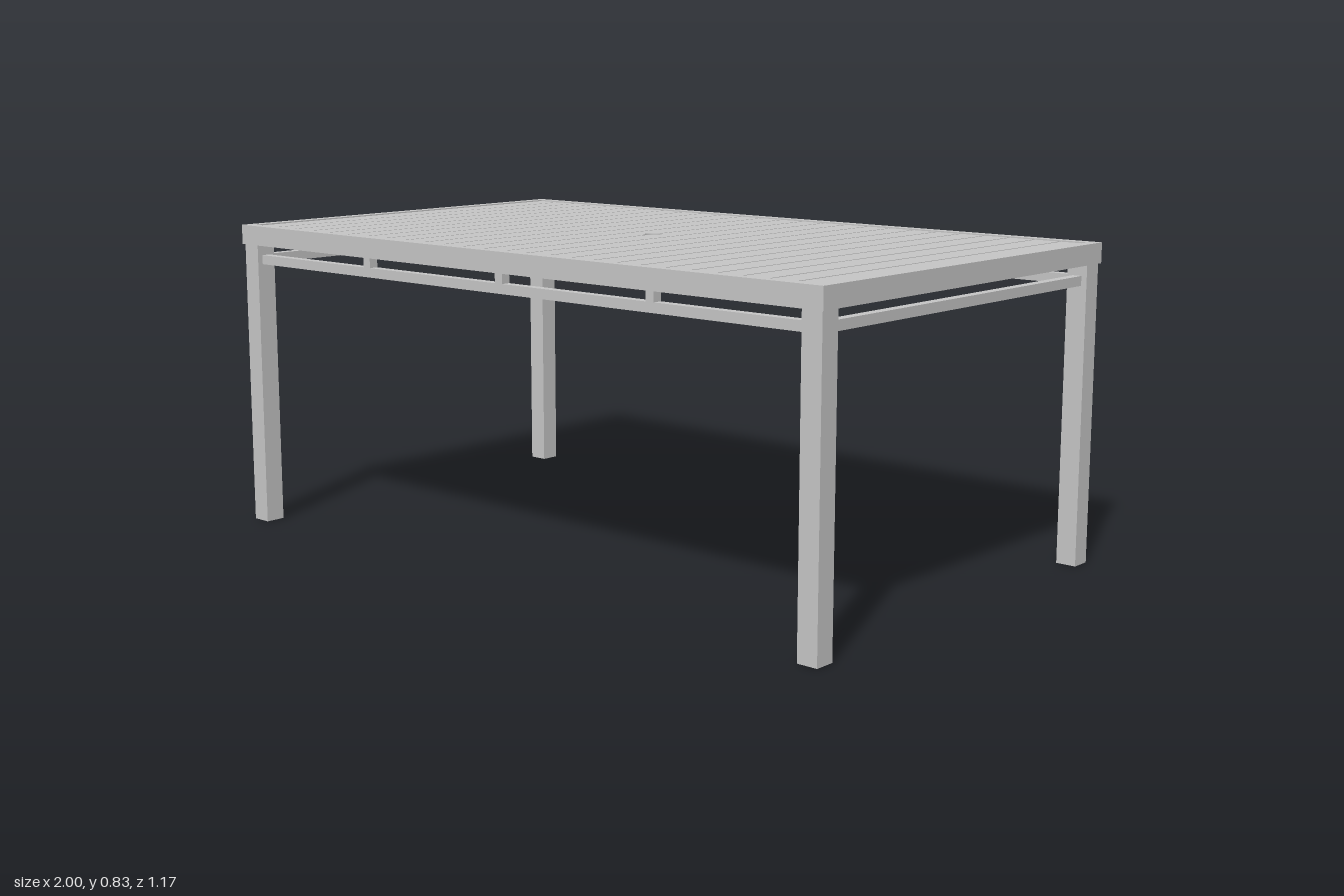
import * as THREE from 'three';

export function createModel() {
  const table = new THREE.Group();
  table.name = 'patioTable';
  const metal = new THREE.MeshStandardMaterial({ color: 0xc4c4c4 });
  metal.name = 'light grey metal';

  const add = (geometry, name, x = 0, y = 0, z = 0) => {
    const mesh = new THREE.Mesh(geometry, metal);
    mesh.name = name;
    mesh.position.set(x, y, z);
    table.add(mesh);
    return mesh;
  };
  const box = (name, w, h, d, x, y, z) => add(new THREE.BoxGeometry(w, h, d), name, x, y, z);

  // Rectangle outline, used for plates, frames and hollow legs
  const rect = (Path, w, d) => new Path([
    [-w, -d], [w, -d], [w, d], [-w, d],
  ].map(([x, y]) => new THREE.Vector2(x / 2, y / 2)));
  // Extrude a plan shape upwards from y0 to y1
  const slab = (shape, name, y0, y1, x = 0, z = 0) => {
    const g = new THREE.ExtrudeGeometry(shape, { depth: y1 - y0, bevelEnabled: false, curveSegments: 24 });
    g.rotateX(-Math.PI / 2);
    return add(g, name, x, y0, z);
  };

  const W = 2, D = 1.166, TOP = 0.834, APRON = 0.781, DECK = 0.808;
  const innerW = 1.946, innerD = 1.112, holeR = 0.026;

  // Apron frame around the top
  const frame = rect(THREE.Shape, W, D);
  frame.holes.push(rect(THREE.Path, innerW, innerD));
  slab(frame, 'apronFrame', APRON, TOP);

  // Deck under the slats, with the parasol hole
  const deck = rect(THREE.Shape, innerW, innerD);
  deck.holes.push(new THREE.Path().absarc(0, 0, holeR, 0, Math.PI * 2, true));
  slab(deck, 'deck', DECK, 0.822);

  // Slats across the top; the two middle ones are notched round the hole
  const count = 26, step = innerW / count, gap = 0.006;
  const slatD = innerD - gap;
  for (let i = 0; i < count; i++) {
    const x = (i - (count - 1) / 2) * step;
    const side = Math.sign(x);
    if (Math.abs(x) > step) {
      box('slat', step - gap, 0.009, slatD, x, 0.8265, 0);
      continue;
    }
    const a = Math.acos(gap / 2 / holeR);
    const near = gap / 2, far = step - gap / 2;
    const pts = [[near, -slatD / 2], [far, -slatD / 2], [far, slatD / 2], [near, slatD / 2]];
    for (let k = 0; k <= 12; k++) {
      const t = a - (2 * a * k) / 12;
      pts.push([holeR * Math.cos(t), holeR * Math.sin(t)]);
    }
    slab(new THREE.Shape(pts.map(([px, pz]) => new THREE.Vector2(px * side, pz))), 'middleSlat', 0.822, 0.831);
  }

  // Hollow square legs
  const legX = 0.967, legZ = 0.55, legW = 0.055;
  for (const sx of [-1, 1]) {
    for (const sz of [-1, 1]) {
      const leg = rect(THREE.Shape, legW, legW);
      leg.holes.push(rect(THREE.Path, legW - 0.006, legW - 0.006));
      slab(leg, 'leg', 0, DECK, sx * legX, sz * legZ);
    }
  }

  // Lower rails between the legs, with spacers on the long sides
  const rail = 0.025, railY = 0.74;
  for (const s of [-1, 1]) {
    box('longRail', 2 * legX - legW, rail, rail, 0, railY, s * legZ);
    box('shortRail', rail, rail, 2 * legZ - legW, s * legX, railY, 0);
    for (const x of [-0.495, 0, 0.495]) box('railSpacer', rail, 0.04, rail, x, 0.77, s * legZ);
  }

  // Support beams under the deck
  for (const z of [-0.35, -0.117, 0.117, 0.35]) box('supportBeam', innerW, 0.024, 0.025, 0, 0.796, z);

  // Parasol sleeve and the brackets that hold it
  const sleeve = [[0.024, 0.76], [0.0262, 0.76], [0.0262, 0.831], [0.024, 0.831], [0.024, 0.76]];
  const profile = sleeve.flatMap((p, i) => (i && i < 4 ? [p, p] : [p])).map(([r, y]) => new THREE.Vector2(r, y));
  add(new THREE.LatheGeometry(profile, 32), 'parasolSleeve');
  for (const s of [-1, 1]) box('sleeveBracket', 0.02, 0.02, 0.082, 0, 0.796, s * 0.066);

  return table;
}
